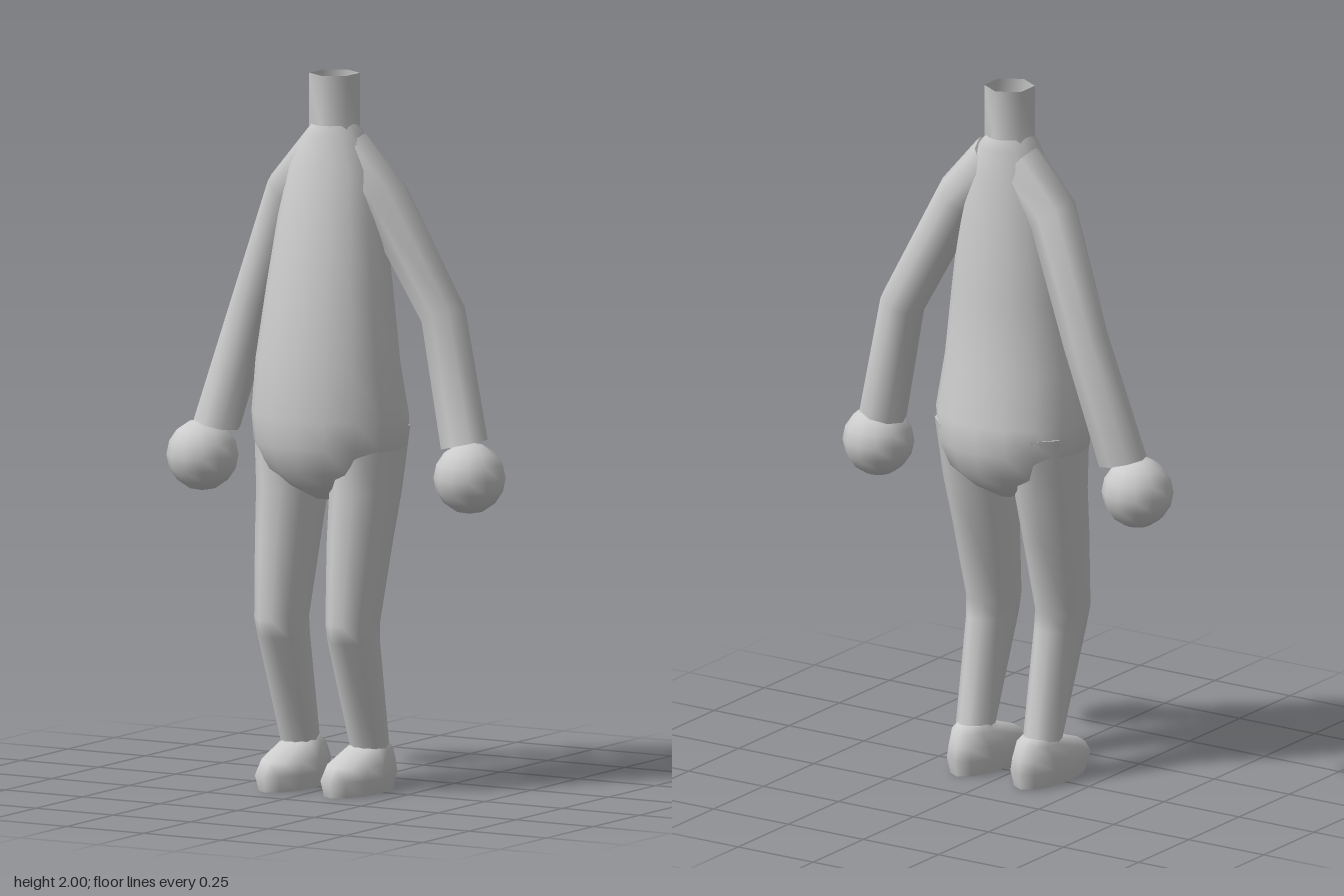
import * as THREE from 'three';

const material = new THREE.MeshStandardMaterial({ color: 0xcccccc, side: THREE.DoubleSide });

// Skin of elliptical rings listed from top to bottom.
// ring: [x, y, z, radius across, radius in z, tilt about z]
function loft(name, rings, sides, { capTop = false, capBottom = false, phase = 0 } = {}) {
  const pos = [], index = [];
  const addRing = ([x, y, z, rx, rz, tilt = 0]) => {
    const start = pos.length / 3;
    for (let i = 0; i < sides; i++) {
      const a = phase + (i / sides) * Math.PI * 2;
      const u = Math.cos(a) * rx;
      pos.push(x + u * Math.cos(tilt), y + u * Math.sin(tilt), z + Math.sin(a) * rz);
    }
    return start;
  };
  const starts = rings.map(addRing);
  for (let r = 0; r < starts.length - 1; r++) {
    for (let i = 0; i < sides; i++) {
      const j = (i + 1) % sides;
      const a = starts[r] + i, b = starts[r] + j, c = starts[r + 1] + i, d = starts[r + 1] + j;
      index.push(a, b, c, b, d, c);
    }
  }
  // Caps have their own corners so their edges stay sharp
  const cap = (ring, up) => {
    const s = addRing(ring), centre = pos.length / 3;
    pos.push(ring[0], ring[1], ring[2]);
    for (let i = 0; i < sides; i++) {
      const a = s + i, b = s + ((i + 1) % sides);
      if (up) index.push(centre, b, a);
      else index.push(centre, a, b);
    }
  };
  if (capTop) cap(rings[0], true);
  if (capBottom) cap(rings[rings.length - 1], false);
  const geometry = new THREE.BufferGeometry();
  geometry.setAttribute('position', new THREE.Float32BufferAttribute(pos, 3));
  geometry.setIndex(index);
  geometry.computeVertexNormals();
  const mesh = new THREE.Mesh(geometry, material);
  mesh.name = name;
  return mesh;
}

// Ring from its half width and its back and front limits
const span = (x, y, halfWidth, back, front) =>
  [x, y, (back + front) / 2, halfWidth, (front - back) / 2];

export function createModel() {
  const model = new THREE.Group();
  model.name = 'figure';

  // Open six-sided neck
  model.add(loft('neck', [
    [0, 2, -0.022, 0.07, 0.07],
    [0, 1.84, -0.022, 0.07, 0.07],
  ], 6, { phase: Math.PI / 6 }));

  // Pear-shaped torso
  model.add(loft('torso', [
    span(0, 1.86, 0.062, -0.092, 0.048),
    span(0, 1.83, 0.085, -0.105, 0.06),
    span(0, 1.74, 0.13, -0.116, 0.082),
    span(0, 1.6, 0.158, -0.13, 0.115),
    span(0, 1.4, 0.185, -0.148, 0.155),
    span(0, 1.2, 0.211, -0.158, 0.184),
    span(0, 1.05, 0.228, -0.193, 0.194),
    span(0, 0.97, 0.222, -0.192, 0.188),
    span(0, 0.9, 0.185, -0.172, 0.168),
    span(0, 0.855, 0.12, -0.13, 0.125),
    span(0, 0.815, 0.04, -0.06, 0.05),
  ], 16, { capBottom: true }));

  for (const [side, s] of [['left', 1], ['right', -1]]) {
    // Arm bent back at the elbow
    model.add(loft(side + 'Arm', [
      [s * 0.04, 1.77, -0.032, 0.085, 0.068, s * 0.9],
      [s * 0.155, 1.655, -0.037, 0.072, 0.07, s * 0.65],
      [s * 0.305, 1.335, -0.1, 0.067, 0.062, s * 0.37],
      [s * 0.4, 0.985, -0.055, 0.068, 0.068, s * 0.24],
    ], 8, { capTop: true, capBottom: true }));

    // Ball hand
    const hand = new THREE.Mesh(new THREE.SphereGeometry(0.1, 12, 8), material);
    hand.name = side + 'Hand';
    hand.position.set(s * 0.432, 0.897, -0.03);
    model.add(hand);

    // Leg bent forward at the knee
    model.add(loft(side + 'Leg', [
      span(s * 0.122, 1.02, 0.1, -0.15, 0.13),
      span(s * 0.118, 0.84, 0.092, -0.115, 0.13),
      span(s * 0.116, 0.7, 0.083, -0.078, 0.148),
      span(s * 0.115, 0.48, 0.068, -0.024, 0.166),
      span(s * 0.113, 0.43, 0.064, -0.03, 0.155),
      span(s * 0.112, 0.1, 0.052, -0.088, 0.025),
    ], 10, { capTop: true, capBottom: true }));

    // Rounded shoe with a flat sole
    model.add(loft(side + 'Shoe', [
      span(s * 0.108, 0.135, 0.045, -0.085, 0.01),
      span(s * 0.108, 0.118, 0.06, -0.11, 0.05),
      span(s * 0.106, 0.08, 0.076, -0.13, 0.155),
      span(s * 0.106, 0.045, 0.081, -0.137, 0.184),
      span(s * 0.106, 0, 0.068, -0.128, 0.172),
    ], 12, { capTop: true, capBottom: true }));
  }
  return model;
}
